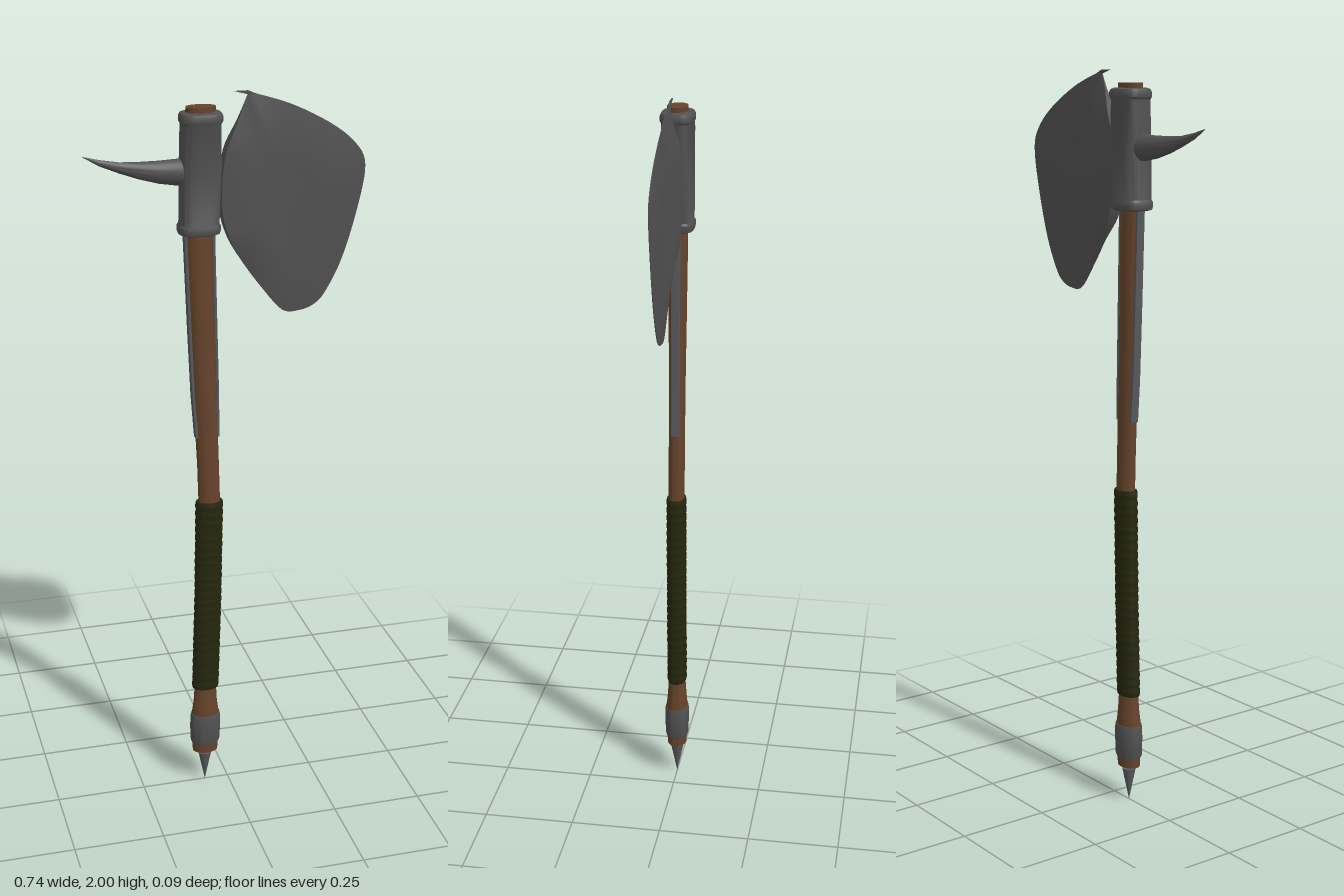
import * as THREE from 'three';
import { toCreasedNormals } from 'three/addons/utils/BufferGeometryUtils.js';

const wood = new THREE.MeshStandardMaterial({ name: 'wood', color: 0x66432b });
const iron = new THREE.MeshStandardMaterial({ name: 'iron', color: 0x515151 });
const steel = new THREE.MeshStandardMaterial({ name: 'steel', color: 0x57595e });
const leather = new THREE.MeshStandardMaterial({ name: 'leather', color: 0x25270e });

// Skins closed rings of points into a solid with flat end caps
function skin(rings, crease = 0.6) {
  const n = rings[0].length;
  const pos = [], index = [];
  rings.forEach(r => r.forEach(p => pos.push(p.x, p.y, p.z)));
  for (let i = 0; i < rings.length - 1; i++) {
    for (let j = 0; j < n; j++) {
      const a = i * n + j, b = i * n + (j + 1) % n;
      index.push(a, b, b + n, a, b + n, a + n);
    }
  }
  [0, rings.length - 1].forEach((i, end) => {
    const c = new THREE.Vector3();
    rings[i].forEach(p => c.addScaledVector(p, 1 / n));
    const ci = pos.length / 3;
    pos.push(c.x, c.y, c.z);
    for (let j = 0; j < n; j++) {
      const a = i * n + j, b = i * n + (j + 1) % n;
      index.push(ci, end ? a : b, end ? b : a);
    }
  });
  const g = new THREE.BufferGeometry();
  g.setAttribute('position', new THREE.Float32BufferAttribute(pos, 3));
  g.setIndex(index);
  return toCreasedNormals(g, crease);
}

// Horizontal ring: an ellipse at power 2, squarer with a higher power
function ring(y, cx, rx, rz, power = 2, seg = 32) {
  const bend = v => Math.sign(v) * Math.pow(Math.abs(v), 2 / power);
  return Array.from({ length: seg }, (_, j) => {
    const a = (j + 0.5) / seg * Math.PI * 2;
    return new THREE.Vector3(cx + rx * bend(Math.cos(a)), y, -rz * bend(Math.sin(a)));
  });
}

// Gently bowed centre line of the haft
const spine = [[0, -0.068], [0.31, -0.065], [0.6, -0.056], [0.89, -0.051], [1.0, -0.054],
  [1.2, -0.062], [1.64, -0.076], [1.8, -0.071], [2, -0.068]];
function centre(y) {
  const k = Math.max(1, spine.findIndex(p => p[0] >= y));
  const [y0, x0] = spine[k - 1], [y1, x1] = spine[k];
  return THREE.MathUtils.lerp(x0, x1, (y - y0) / (y1 - y0));
}

// Solid along the haft from [y, rx, rz] rows
const along = (rows, power) => skin(rows.map(([y, rx, rz]) => ring(y, centre(y), rx, rz, power)));

export function createModel() {
  const axe = new THREE.Group();
  axe.name = 'axe';
  const add = (name, geometry, material) => {
    const m = new THREE.Mesh(geometry, material);
    m.name = name;
    axe.add(m);
    return m;
  };

  // Wooden haft with a flared foot
  add('haft', along([[0.103, 0.036, 0.027], [0.14, 0.038, 0.029], [0.22, 0.04, 0.031],
    [0.26, 0.034, 0.027], [0.31, 0.031, 0.024], [0.6, 0.031, 0.023], [0.89, 0.03, 0.022],
    [1.0, 0.03, 0.022], [1.2, 0.032, 0.022], [1.4, 0.034, 0.024], [1.64, 0.036, 0.026],
    [1.967, 0.039, 0.027]]), wood);

  // Wrapped grip with shallow ridges
  const grip = [];
  for (let i = 0; i <= 72; i++) {
    const bump = i % 3 === 0 ? -0.0012 : 0.0008;
    grip.push([0.31 + 0.58 * i / 72, 0.038 + bump, 0.027 + bump]);
  }
  add('gripWrap', along(grip), leather);

  // Foot ferrule and pommel spike
  add('ferrule', along([[0.13, 0.039, 0.031], [0.138, 0.042, 0.033], [0.18, 0.044, 0.034],
    [0.215, 0.043, 0.034], [0.225, 0.041, 0.032]]), iron);
  const tip = add('pommelSpike', new THREE.ConeGeometry(0.019, 0.093, 20), steel);
  tip.rotation.x = Math.PI;
  tip.position.set(-0.068, 0.0465, 0);

  // Metal straps down both edges of the haft
  for (const side of [-1, 1]) {
    const rows = [[1.08, 0.029], [1.2, 0.033], [1.4, 0.035], [1.65, 0.037]];
    add(side < 0 ? 'rightStrap' : 'leftStrap',
      skin(rows.map(([y, r]) => ring(y, centre(y) + side * r, 0.004, 0.012, 8, 16))), steel);
  }

  // Head socket with raised rims
  add('socket', along([[1.642, 0.045, 0.036], [1.645, 0.053, 0.042], [1.652, 0.055, 0.044],
    [1.664, 0.055, 0.044], [1.67, 0.051, 0.041], [1.8, 0.053, 0.042], [1.925, 0.051, 0.041],
    [1.931, 0.055, 0.044], [1.944, 0.055, 0.044], [1.951, 0.052, 0.041], [1.954, 0.044, 0.033]], 3.2), iron);

  // Curved back spike: [x, centre y, half height, half depth]
  const horn = [[-0.09, 1.803, 0.036, 0.03], [-0.13, 1.804, 0.034, 0.027], [-0.18, 1.807, 0.029, 0.022],
    [-0.23, 1.814, 0.022, 0.0165], [-0.28, 1.824, 0.014, 0.0105], [-0.33, 1.839, 0.008, 0.005],
    [-0.37, 1.856, 0.001, 0.0005]];
  add('backSpike', skin(horn.map(([x, y, ry, rz]) => Array.from({ length: 24 }, (_, j) => {
    const a = j / 24 * Math.PI * 2;
    return new THREE.Vector3(x, y + ry * Math.cos(a), -rz * Math.sin(a));
  }))), iron);

  // Broad blade: outline shrunk towards its middle, thick at the socket, thin at the edge
  const outline = new THREE.SplineCurve([[0.055, 1.996], [0.026, 1.925], [-0.01, 1.838], [-0.018, 1.71],
    [0, 1.632], [0.037, 1.563], [0.095, 1.482], [0.15, 1.419], [0.196, 1.414], [0.238, 1.428],
    [0.27, 1.463], [0.312, 1.548], [0.35, 1.675], [0.37, 1.79], [0.344, 1.85], [0.275, 1.906],
    [0.17, 1.96], [0.07, 1.993]].map(p => new THREE.Vector2(...p))).getPoints(90);
  const { smoothstep, lerp } = THREE.MathUtils;
  const bladeRing = (s, face) => outline.map(p => {
    const x = lerp(0.17, p.x, s), y = lerp(1.7, p.y, s);
    const body = lerp(0.02, 0.009, smoothstep(x, 0.04, 0.17));
    const edge = lerp(0.018, 0.001, smoothstep(x, -0.005, 0.05));
    return new THREE.Vector3(x, y, face * (s === 1 ? edge : body));
  });
  const steps = [0.2, 0.45, 0.7, 1];
  add('blade', skin([...steps.map(s => bladeRing(s, -1)),
    ...steps.slice().reverse().map(s => bladeRing(s, 1))], 0.5), iron);

  // Small barb at the blade's upper corner
  const barb = new THREE.Shape([[0.018, 2], [0.055, 1.99], [0.075, 1.991], [0.055, 2]]
    .map(p => new THREE.Vector2(...p)));
  add('bladeBarb', new THREE.ExtrudeGeometry(barb, { depth: 0.004, bevelEnabled: false })
    .translate(0, 0, -0.002), iron);

  return axe;
}
